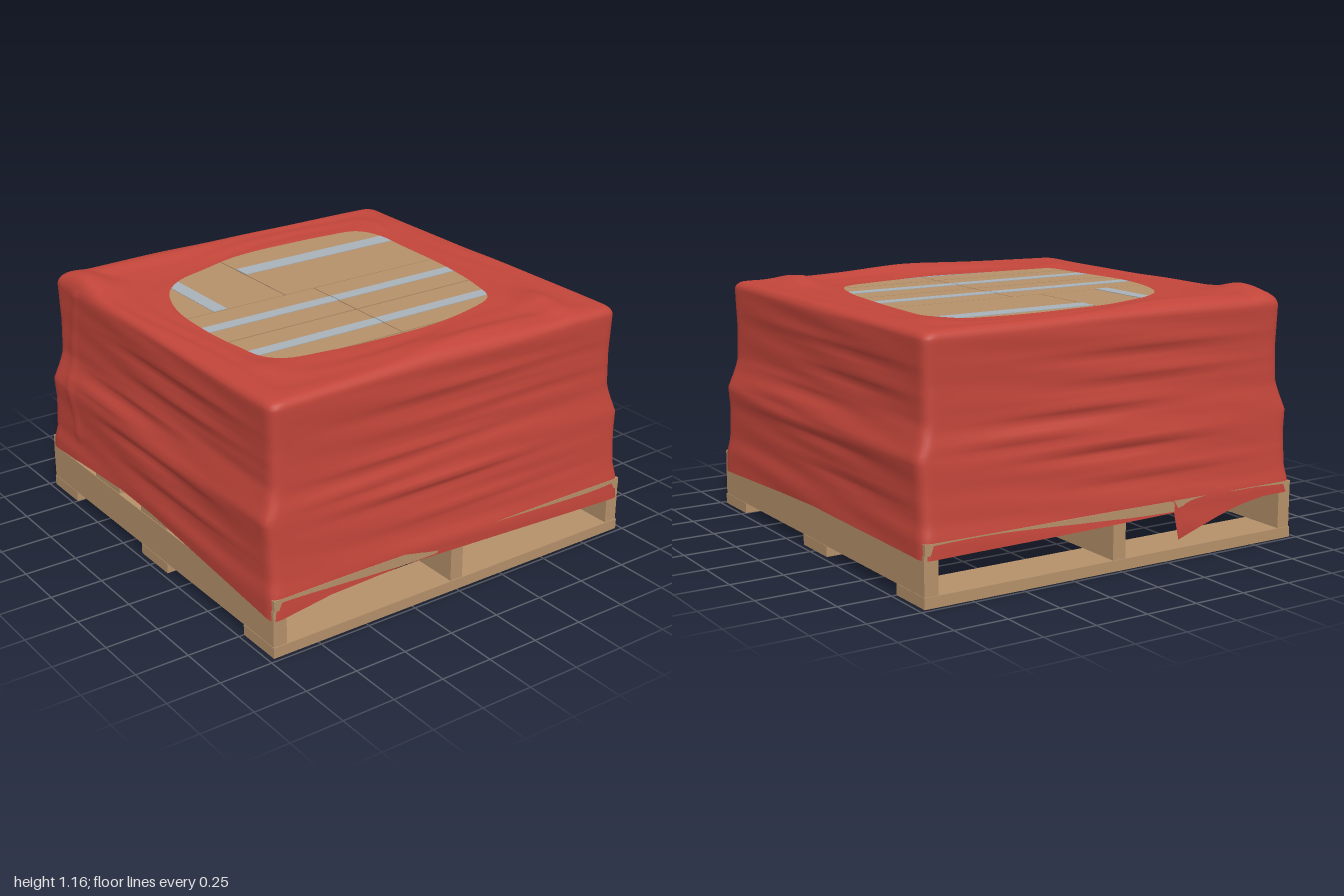
import * as THREE from 'three';

const wood = new THREE.MeshStandardMaterial({ color: 0xb5916a });
const card = new THREE.MeshStandardMaterial({ color: 0xb5916a });
const tape = new THREE.MeshStandardMaterial({ color: 0xa8b2b8 });
const film = new THREE.MeshStandardMaterial({ color: 0xc2453a, side: THREE.DoubleSide });

// Box given by its lower and upper limits on each axis
function block(parent, name, material, x0, x1, y0, y1, z0, z1) {
  const mesh = new THREE.Mesh(new THREE.BoxGeometry(x1 - x0, y1 - y0, z1 - z0), material);
  mesh.position.set((x0 + x1) / 2, (y0 + y1) / 2, (z0 + z1) / 2);
  mesh.name = name;
  parent.add(mesh);
}

function createPallet() {
  const pallet = new THREE.Group();
  pallet.name = 'pallet';
  for (const x of [-0.865, 0, 0.865]) block(pallet, 'bottomBoard', wood, x - 0.115, x + 0.115, 0, 0.05, -0.975, 0.975);
  for (const z of [-0.94, 0, 0.94]) block(pallet, 'stringer', wood, -0.975, 0.975, 0.05, 0.22, z - 0.033, z + 0.033);
  for (let i = -2; i <= 2; i++) block(pallet, 'deckBoard', wood, i * 0.432 - 0.115, i * 0.432 + 0.115, 0.22, 0.27, -0.97, 0.97);
  return pallet;
}

// One layer of cartons: x0, x1, z0, z1, tape runs along z
const cartons = [
  [-0.88, -0.12, -0.88, 0.16, true],
  [-0.88, -0.12, 0.16, 0.86, false],
];
for (const x of [-0.12, 0.22, 0.56]) {
  cartons.push([x, x + 0.335, -0.88, 0, true], [x, x + 0.335, 0, 0.88, true]);
}

function createLayer(y, h) {
  const layer = new THREE.Group();
  layer.name = 'cartonLayer';
  const g = 0.003;
  for (const [x0, x1, z0, z1, along] of cartons) {
    block(layer, 'carton', card, x0 + g, x1 - g, y + g, y + h - g, z0 + g, z1 - g);
    const cx = (x0 + x1) / 2, cz = (z0 + z1) / 2;
    const w = x1 - x0 > 0.5 ? 0.045 : 0.032;
    for (const ty of [y, y + h - g]) {
      if (along) block(layer, 'packingTape', tape, cx - w, cx + w, ty, ty + g, z0 + g, z1 - g);
      else block(layer, 'packingTape', tape, x0 + g, x1 - g, ty, ty + g, cz - w + 0.01, cz + w - 0.01);
    }
  }
  return layer;
}

// Piecewise linear lookup
function lookup(table, t) {
  if (t <= table[0][0]) return table[0][1];
  for (let i = 1; i < table.length; i++) {
    const [a, va] = table[i - 1], [b, vb] = table[i];
    if (t <= b) return va + (vb - va) * (t - a) / (b - a);
  }
  return table[table.length - 1][1];
}

// Half width and half depth of the wrap by height
const halfX = [[0.17, 0.985], [0.27, 0.978], [0.33, 0.965], [0.45, 0.953], [0.6, 0.945], [0.72, 0.925], [0.9, 0.92], [1.08, 0.925]];
const halfZ = [[0.17, 0.98], [0.28, 0.978], [0.34, 0.968], [0.5, 0.968], [0.6, 0.978], [0.66, 0.955], [0.74, 0.932], [0.9, 0.93], [1.08, 0.935]];

// Opening in the top, stored as radius by angle
const hole = new THREE.CatmullRomCurve3([
  [-0.64, -0.61], [-0.52, -0.68], [-0.3, -0.68], [0.05, -0.66], [0.3, -0.62], [0.48, -0.55], [0.55, -0.38],
  [0.6, -0.1], [0.6, 0.15], [0.58, 0.4], [0.52, 0.65], [0.3, 0.7], [0.05, 0.715], [-0.2, 0.69],
  [-0.42, 0.6], [-0.53, 0.48], [-0.6, 0.3], [-0.66, 0.1], [-0.68, -0.2], [-0.67, -0.45],
].map(([x, z]) => new THREE.Vector3(x, 0, z)), true);
const holeRadius = hole.getSpacedPoints(240)
  .map((p) => [Math.atan2(p.z, p.x), Math.hypot(p.x, p.z)])
  .sort((a, b) => a[0] - b[0]);

const bell = (d, w) => Math.exp(-(d * d) / (w * w));

// Bunched film on the top: x, z, height, spread x, spread z
const bunches = [
  [-0.72, 0.85, 0.045, 0.16, 0.1], [0.68, -0.68, 0.045, 0.16, 0.08], [0.58, 0.7, 0.02, 0.1, 0.09],
  [0.82, 0, 0.032, 0.09, 0.45], [-0.82, 0.4, 0.025, 0.1, 0.5], [-0.66, -0.72, 0.02, 0.12, 0.1],
];
// Stretch creases on the sides: height, centre along the side, length, depth
const creases = [[0.73, -0.2, 0.5, 0.01], [0.56, 0, 0.45, 0.012], [0.85, 0.3, 0.5, 0.007], [0.64, -0.45, 0.35, 0.008], [0.42, 0.25, 0.5, 0.006], [0.97, 0.15, 0.6, 0.007]];

// Lower hem of the wrap, with a torn flap hanging on the right side
function hem(px, pz) {
  if (px <= -0.999 && pz > 0.3 && pz < 0.82) return 0.215 - 0.135 * Math.pow((0.82 - pz) / 0.52, 1.5);
  if (pz >= 0.999) return lookup([[-1, 0.22], [-0.6, 0.245], [-0.3, 0.258], [0, 0.25], [1, 0.17]], px);
  if (px >= 0.999) return lookup([[-1, 0.17], [0.3, 0.22], [0.7, 0.21], [1, 0.17]], pz);
  if (px <= -0.999) return lookup([[-1, 0.2], [0.3, 0.215], [1, 0.22]], pz);
  return lookup([[-1, 0.2], [0, 0.21], [1, 0.17]], px);
}

// Rounded rectangle point for a point on the unit square
function outline(px, pz, hx, hz, r) {
  const x = px * hx, z = pz * hz;
  const cx = THREE.MathUtils.clamp(x, r - hx, hx - r), cz = THREE.MathUtils.clamp(z, r - hz, hz - r);
  const d = Math.hypot(x - cx, z - cz) || 1;
  return [cx + (x - cx) * r / d, cz + (z - cz) * r / d];
}

function createWrap() {
  const N = 320, HEM = 6, SIDE = 38, ROUND = 5, TOP = 14;
  const rows = HEM + SIDE + ROUND + TOP;
  const pos = [], index = [];
  for (let j = 0; j <= rows; j++) {
    for (let i = 0; i < N; i++) {
      // Walk round the unit square
      const side = Math.floor(i * 4 / N), t = (i * 4 / N - side) * 2 - 1;
      const [px, pz] = [[t, 1], [1, -t], [-t, -1], [-1, t]][side];
      let x, y, z;
      if (j <= HEM + SIDE) {
        const b = hem(px, pz);
        y = j <= HEM ? b + (0.32 - b) * j / HEM : 0.32 + 0.76 * (j - HEM) / SIDE;
        let fold = 0;
        for (const [cy, c, len, depth] of creases) fold += depth * bell(t - c, len) * (bell(y - cy, 0.016) - bell(y - cy + 0.03, 0.02));
        fold += 0.003 * Math.sin(y * 45 + t * 4 + side * 2) * (1 - t * t);
        if (side === 0 && y > 0.35) fold += 0.008 * bell(t + 0.78 - 0.06 * Math.sin(y * 6), 0.025);
        const [ox, oz] = outline(px, pz, lookup(halfX, y), lookup(halfZ, y), 0.045);
        x = ox + (side % 2 ? Math.sign(px) * fold : 0);
        z = oz + (side % 2 ? 0 : Math.sign(pz) * fold);
      } else {
        const k = j - HEM - SIDE;
        const a = Math.min(k / ROUND, 1) * Math.PI / 2;
        const inset = 0.04 * (1 - Math.cos(a));
        [x, z] = outline(px, pz, 0.925 - inset, 0.935 - inset, 0.045);
        const s = Math.max(0, (k - ROUND) / TOP);
        const angle = Math.atan2(z, x), r = lookup(holeRadius, angle);
        x += (r * Math.cos(angle) - x) * s;
        z += (r * Math.sin(angle) - z) * s;
        let lift = 0;
        for (const [bx, bz, h, sx, sz] of bunches) lift = Math.max(lift, h * bell(x - bx, sx) * bell(z - bz, sz));
        lift += 0.003 * Math.sin(s * 14 + Math.sin(angle * 4) * 2);
        y = 1.08 + 0.037 * Math.sin(a) - 0.008 * s + lift * Math.sin(a) * (1 - 0.6 * s * s);
      }
      pos.push(x, y, z);
      if (j < rows) {
        const p = j * N + i, q = j * N + (i + 1) % N;
        index.push(p, q, q + N, p, q + N, p + N);
      }
    }
  }
  const geometry = new THREE.BufferGeometry();
  geometry.setAttribute('position', new THREE.Float32BufferAttribute(pos, 3));
  geometry.setIndex(index);
  geometry.computeVertexNormals();
  const wrap = new THREE.Mesh(geometry, film);
  wrap.name = 'stretchWrap';
  return wrap;
}

export function createModel() {
  const model = new THREE.Group();
  model.name = 'wrappedPallet';
  model.add(createPallet());
  for (let i = 0; i < 3; i++) model.add(createLayer(0.27 + i * 0.275, 0.275));
  model.add(createWrap());
  return model;
}
